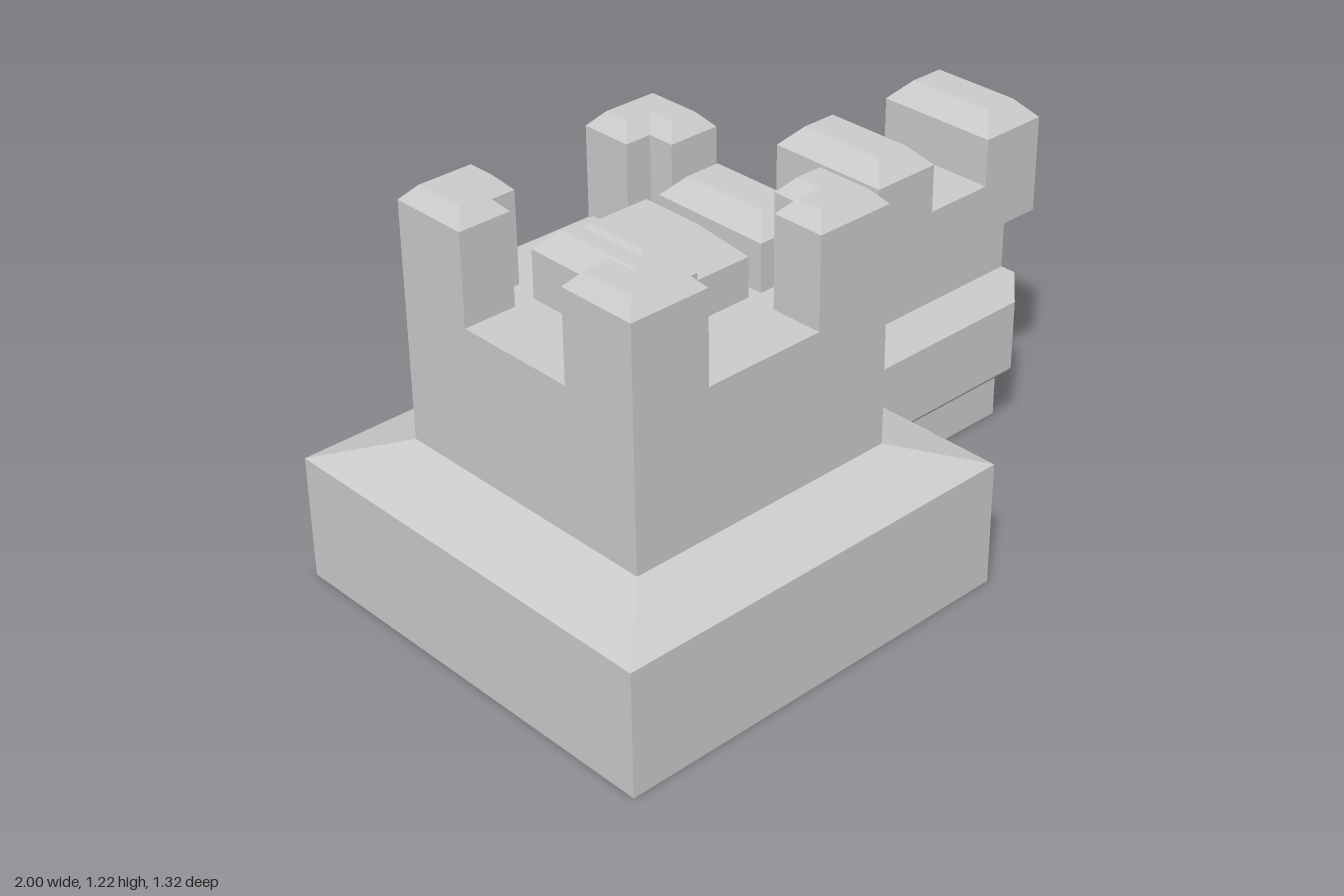
import * as THREE from 'three';

const material = new THREE.MeshStandardMaterial({ color: 0xcccccc, flatShading: true, side: THREE.DoubleSide });

// Rectangle outline centred on (cx, cz), counter-clockwise from above
const rect = (cx, cz, hx, hz) => [[cx - hx, cz + hz], [cx + hx, cz + hz], [cx + hx, cz - hz], [cx - hx, cz - hz]];

// Stack of matching outlines joined by flat sides, closed on top and optionally below
function loft(layers, bottom = false) {
  const pos = [];
  const tri = (...corners) => corners.forEach(c => pos.push(...c));
  const at = ([pts, y], i) => { const p = pts[i % pts.length]; return [p[0], y, p[1]]; };
  for (let k = 0; k < layers.length - 1; k++) {
    const lo = layers[k], hi = layers[k + 1];
    for (let i = 0; i < lo[0].length; i++) {
      tri(at(lo, i), at(lo, i + 1), at(hi, i + 1));
      tri(at(lo, i), at(hi, i + 1), at(hi, i));
    }
  }
  const cap = (layer, up) => {
    const flat = layer[0].map(([x, z]) => new THREE.Vector2(x, -z));
    for (const [a, b, c] of THREE.ShapeUtils.triangulateShape(flat, [])) {
      if (up) tri(at(layer, a), at(layer, b), at(layer, c));
      else tri(at(layer, a), at(layer, c), at(layer, b));
    }
  };
  cap(layers[layers.length - 1], true);
  if (bottom) cap(layers[0], false);
  const geo = new THREE.BufferGeometry();
  geo.setAttribute('position', new THREE.Float32BufferAttribute(pos, 3));
  geo.computeVertexNormals();
  return geo;
}

// Block with a chamfered top
const capped = (cx, cz, hx, hz, y0, y1, y2, inset) => loft([
  [rect(cx, cz, hx, hz), y0], [rect(cx, cz, hx, hz), y1], [rect(cx, cz, hx - inset, hz - inset), y2]]);

// L-shaped outline with its outer corner at the origin, shrunk by t
function cornerOutline(t) {
  const w = 0.25 - t, d = 0.165 - t;
  return [[t, t], [w, t], [w, d], [d, d], [d, w], [t, w]].map(([u, v]) => [u, -v]);
}

export function createModel() {
  const model = new THREE.Group();
  const add = (name, geo, parent = model) => {
    const mesh = new THREE.Mesh(geo, material);
    mesh.name = name;
    parent.add(mesh);
    return mesh;
  };

  // Tower: hollow plinth with sloping shoulder, shaft and floor
  const tower = new THREE.Group();
  tower.name = 'tower';
  tower.position.x = -0.34;
  model.add(tower);
  add('towerBody', loft([
    [rect(0, 0, 0.66, 0.66), 0],
    [rect(0, 0, 0.66, 0.66), 0.385],
    [rect(0, 0, 0.443, 0.445), 0.45],
    [rect(0, 0, 0.443, 0.445), 0.895]]), tower);

  // Four mirrored corner battlements
  const corner = loft([[cornerOutline(0), 0.895], [cornerOutline(0), 1.172], [cornerOutline(0.04), 1.215]]);
  for (const sx of [-1, 1]) for (const sz of [-1, 1]) {
    const merlon = add('cornerBattlement', corner, tower);
    merlon.position.set(sx * 0.443, 0, sz * 0.445);
    merlon.scale.set(-sx, 1, sz);
  }

  // Raised roof block in the middle of the tower
  add('roofBlock', capped(0, 0, 0.19, 0.19, 0.895, 1.015, 1.11, 0.093), tower);

  // Wall: constant section with an overhanging parapet, running through the tower
  const wall = new THREE.Group();
  wall.name = 'wall';
  model.add(wall);
  const section = [[-0.195, 0.003], [0.09, 0.003], [0.09, 0.69], [0.195, 0.745], [0.195, 0.895], [-0.195, 0.895]];
  const shape = new THREE.Shape(section.map(([z, y]) => new THREE.Vector2(-z, y)));
  const body = new THREE.ExtrudeGeometry(shape, { depth: 1.78, bevelEnabled: false });
  add('wallBody', body.rotateY(Math.PI / 2).translate(-0.78, 0, 0), wall);

  // Chamfered panels on the front of the wall
  for (const x of [-0.335, 0.555]) {
    const panel = capped(0, 0, 0.445, 0.17, 0.09, 0.14, 0.195, 0.057);
    add('wallPanel', panel.rotateX(Math.PI / 2).translate(x, 0.346, 0), wall);
  }

  // Evenly spaced battlements along the wall
  for (let i = 0; i < 4; i++) {
    add('wallBattlement', capped(0.89 - i * 0.445, 0, 0.11, 0.195, 0.895, 1.04, 1.097, 0.055), wall);
  }
  return model;
}
